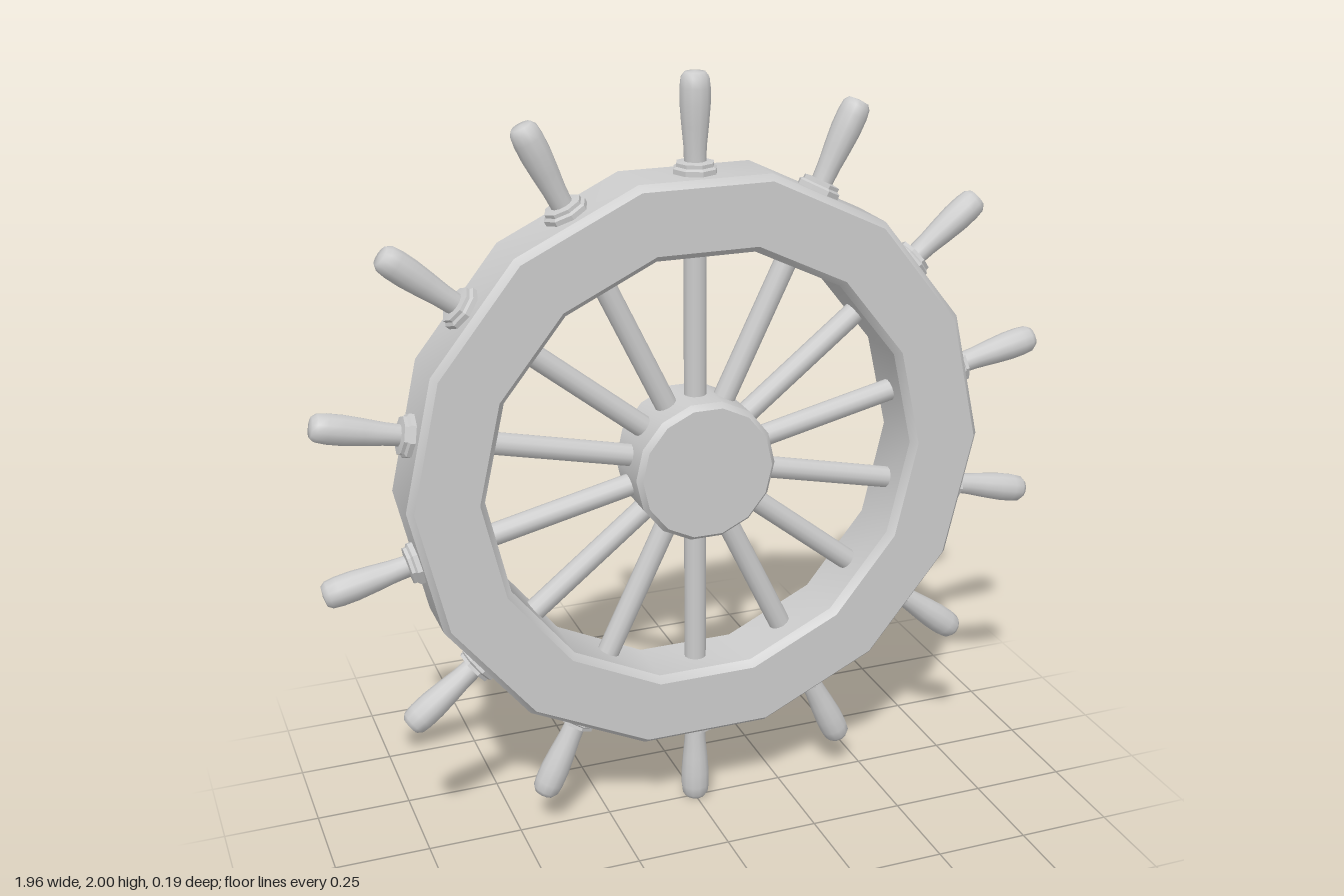
import * as THREE from 'three';
import { toCreasedNormals } from 'three/addons/utils/BufferGeometryUtils.js';

const COUNT = 14;
const material = new THREE.MeshStandardMaterial({ color: 0xcccccc });

// Lathe from [radius, height] pairs, with sharp edges kept
function lathe(profile, sides, start = 0, crease = 0.5) {
  const points = profile.map(([r, h]) => new THREE.Vector2(r, h));
  return toCreasedNormals(new THREE.LatheGeometry(points, sides, start), crease);
}

function part(name, geometry) {
  const mesh = new THREE.Mesh(geometry, material);
  mesh.name = name;
  return mesh;
}

export function createModel() {
  const model = new THREE.Group();
  model.name = 'shipWheel';
  const wheel = new THREE.Group();
  wheel.name = 'wheel';
  wheel.position.y = 1;
  model.add(wheel);

  // Fourteen-sided rim with chamfered edges, a flat side behind each handle
  const rim = lathe([
    [0.773, -0.077], [0.773, 0.077], [0.757, 0.096], [0.594, 0.096],
    [0.577, 0.077], [0.577, -0.077], [0.594, -0.096], [0.757, -0.096], [0.773, -0.077],
  ], COUNT, Math.PI / 2).rotateX(Math.PI / 2);
  wheel.add(part('rim', rim));

  // Solid hub with chamfered faces
  const hub = lathe([
    [0, -0.096], [0.175, -0.096], [0.188, -0.08], [0.188, 0.08], [0.175, 0.096], [0, 0.096],
  ], COUNT, Math.PI / 2).rotateX(Math.PI / 2);
  wheel.add(part('hub', hub));

  // Shared shapes for the spoke, the stepped collar and the turned handle
  const spoke = new THREE.CylinderGeometry(0.029, 0.029, 0.46, 12, 1, true).translate(0, 0.38, 0);
  const collar = lathe([
    [0.057, 0.74], [0.057, 0.766], [0.049, 0.771], [0.049, 0.78], [0.025, 0.783],
  ], 8, 0, 0.3);
  const handle = lathe([
    [0.027, 0.77], [0.029, 0.82], [0.034, 0.87], [0.038, 0.92], [0.038, 0.96],
    [0.035, 0.985], [0.026, 0.997], [0, 1],
  ], 12, 0, 0.9);

  for (let i = 0; i < COUNT; i++) {
    const arm = new THREE.Group();
    arm.name = 'arm' + (i + 1);
    arm.rotation.z = (i * 2 * Math.PI) / COUNT;
    arm.add(part('spoke', spoke), part('collar', collar), part('handle', handle));
    wheel.add(arm);
  }
  return model;
}
